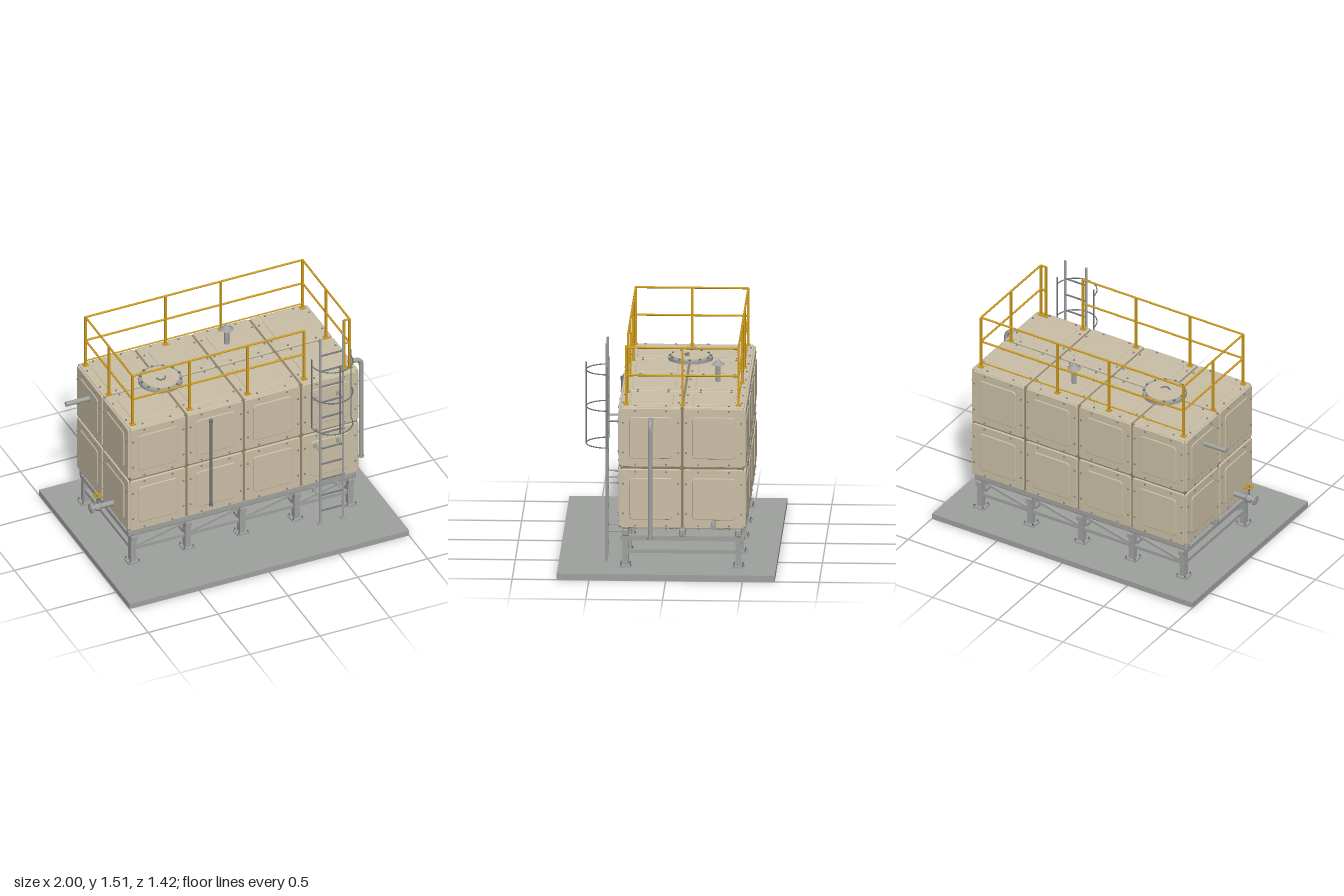
import * as THREE from 'three';
import { RoundedBoxGeometry } from 'three/addons/geometries/RoundedBoxGeometry.js';

const mat = (name, color) => new THREE.MeshStandardMaterial({ name, color });
const M = {
  tan: mat('tank cream', 0xcbbfa6),
  seam: mat('seam brown', 0x8f8165),
  steel: mat('steel grey', 0xa0a2a0),
  dark: mat('dark steel', 0x72777a),
  bolt: mat('bolt grey', 0x85878a),
  yellow: mat('safety yellow', 0xcf9c1c),
};
const V = (x, y, z) => new THREE.Vector3(x, y, z);

function add(parent, name, geo, material, x = 0, y = 0, z = 0) {
  const m = new THREE.Mesh(geo, material);
  m.name = name;
  m.position.set(x, y, z);
  parent.add(m);
  return m;
}
const box = (p, name, m, w, h, d, x, y, z) => add(p, name, new THREE.BoxGeometry(w, h, d), m, x, y, z);

// Round bar between two points
function rod(p, name, m, a, b, r, seg = 10) {
  const mesh = add(p, name, new THREE.CylinderGeometry(r, r, a.distanceTo(b), seg), m);
  mesh.position.copy(a).lerp(b, 0.5);
  mesh.quaternion.setFromUnitVectors(V(0, 1, 0), b.clone().sub(a).normalize());
  return mesh;
}

// Rounded square plate with a bevelled front, back at z = 0
function plate(size, r, depth, bevel) {
  const h = size / 2 - bevel, s = new THREE.Shape();
  s.moveTo(-h + r, -h);
  s.lineTo(h - r, -h); s.quadraticCurveTo(h, -h, h, -h + r);
  s.lineTo(h, h - r); s.quadraticCurveTo(h, h, h - r, h);
  s.lineTo(-h + r, h); s.quadraticCurveTo(-h, h, -h, h - r);
  s.lineTo(-h, -h + r); s.quadraticCurveTo(-h, -h, -h + r, -h);
  return new THREE.ExtrudeGeometry(s, {
    depth: depth - bevel, bevelThickness: bevel, bevelSize: bevel, bevelSegments: 2, curveSegments: 3,
  });
}

function buildTank() {
  const tank = new THREE.Group();
  tank.name = 'tank';
  tank.position.set(0, 0.71, -0.1);
  box(tank, 'tankCore', M.seam, 1.626, 0.8, 0.806, 0, 0, 0);
  const P = 0.41;
  const flange = plate(0.396, 0.012, 0.012, 0.005);
  const emboss = plate(0.28, 0.02, 0.006, 0.005);
  const boltGeo = new THREE.CylinderGeometry(0.006, 0.007, 0.008, 6).rotateX(Math.PI / 2);
  // Panelled face: columns, rows, distance from centre and orientation
  const face = (name, cols, rows, dist, rx, ry) => {
    const f = new THREE.Group();
    f.name = name;
    f.rotation.set(rx, ry, 0);
    tank.add(f);
    for (let i = 0; i < cols; i++) for (let j = 0; j < rows; j++) {
      const x = (i - (cols - 1) / 2) * P, y = (j - (rows - 1) / 2) * P;
      add(f, 'panel', flange, M.tan, x, y, dist - 0.012);
      add(f, 'panelEmboss', emboss, M.tan, x, y, dist);
      for (const s of [-1, 1]) for (const t of [-0.1, 0.1]) {
        add(f, 'bolt', boltGeo, M.bolt, x + s * 0.18, y + t, dist + 0.003);
        add(f, 'bolt', boltGeo, M.bolt, x + t, y + s * 0.18, dist + 0.003);
      }
    }
  };
  const H = Math.PI / 2;
  face('frontPanels', 4, 2, 0.415, 0, 0);
  face('backPanels', 4, 2, 0.415, 0, Math.PI);
  face('leftPanels', 2, 2, 0.825, 0, H);
  face('rightPanels', 2, 2, 0.825, 0, -H);
  face('topPanels', 4, 2, 0.41, -H, 0);
  face('bottomPanels', 4, 2, 0.41, H, 0);
  return tank;
}

function buildStand() {
  const g = new THREE.Group();
  g.name = 'stand';
  box(g, 'baseSlab', M.steel, 2, 0.04, 1.42, 0, 0.02, 0);
  for (const z of [0.27, -0.1, -0.465])
    add(g, 'longBeam', new RoundedBoxGeometry(1.63, 0.05, 0.04, 2, 0.01), M.steel, 0, 0.272, z);
  const xs = [-0.78, -0.39, 0, 0.39, 0.775];
  xs.forEach((x, i) => {
    box(g, 'crossBeam', M.steel, 0.04, 0.032, 0.81, x, 0.232, -0.1);
    box(g, 'lowerCrossBrace', M.steel, 0.025, 0.024, 0.7, x, 0.142, -0.1);
    for (const z of [0.27, -0.465]) {
      box(g, 'leg', M.steel, 0.04, 0.21, 0.04, x, 0.145, z);
      box(g, 'footPlate', M.steel, 0.085, 0.01, 0.08, x, 0.045, z);
      for (const sx of [-1, 1]) for (const sz of [-1, 1])
        add(g, 'anchorBolt', new THREE.CylinderGeometry(0.005, 0.005, 0.016, 6), M.dark,
          x + sx * 0.032, 0.056, z + sz * 0.03);
      if (i === 4) continue;
      // Bay bracing to the next leg
      const x2 = xs[i + 1];
      box(g, 'lowerLongBrace', M.steel, x2 - x, 0.024, 0.022, (x + x2) / 2, 0.142, z);
      const dx = x2 - x - 0.04, dy = 0.085;
      box(g, 'diagonalBrace', M.steel, Math.hypot(dx, dy), 0.018, 0.018, (x + x2) / 2, 0.197, z)
        .rotation.z = Math.atan2(dy, dx);
    }
  });
  return g;
}

function buildRailing() {
  const g = new THREE.Group();
  g.name = 'railing';
  const L = -0.778, R = 0.775, F = 0.268, B = -0.465, T = 1.507;
  const post = (x, z) => {
    box(g, 'railPost', M.yellow, 0.014, T - 1.12, 0.014, x, (T + 1.12) / 2, z);
    box(g, 'postFoot', M.yellow, 0.034, 0.008, 0.03, x, 1.126, z);
  };
  for (const x of [L, -0.37, 0.045, 0.45, 0.737, R]) post(x, F);
  for (const x of [L, -0.205, 0.19, R]) post(x, B);
  for (const x of [L, R]) post(x, -0.1);
  for (const y of [1.322, T]) {
    rod(g, 'frontRail', M.yellow, V(L, y, F), V(0.45, y, F), 0.007);
    rod(g, 'frontRailEnd', M.yellow, V(0.737, y, F), V(R, y, F), 0.007);
    rod(g, 'backRail', M.yellow, V(L, y, B), V(R, y, B), 0.007);
    for (const x of [L, R]) rod(g, 'sideRail', M.yellow, V(x, y, F), V(x, y, B), 0.007);
  }
  rod(g, 'toeRail', M.yellow, V(L, 1.16, B), V(R, 1.16, B), 0.005);
  return g;
}

function buildLadder() {
  const g = new THREE.Group();
  g.name = 'ladder';
  const xs = [0.507, 0.67], z = 0.397, cx = 0.588, r = 0.14;
  for (const x of xs) {
    rod(g, 'ladderRail', M.steel, V(x, 0.04, z), V(x, 1.507, z), 0.008);
    box(g, 'ladderFoot', M.steel, 0.035, 0.008, 0.035, x, 0.044, z);
    for (const y of [0.247, 0.61, 0.985]) {
      const end = y < 0.3 ? 0.29 : 0.315;
      rod(g, 'standoff', M.steel, V(x, y, z), V(x, y, end), 0.006);
      box(g, 'standoffPad', M.steel, 0.025, 0.03, 0.008, x, y, end + 0.008);
    }
  }
  for (let i = 0; i < 11; i++) {
    const y = 0.14 + i * 0.123;
    rod(g, 'rung', M.dark, V(xs[0], y, z), V(xs[1], y, z), 0.006);
  }
  // Safety cage
  for (const y of [0.817, 1.065, 1.31])
    add(g, 'cageHoop', new THREE.TorusGeometry(r, 0.004, 6, 28, Math.PI).rotateX(Math.PI / 2), M.dark, cx, y, z - 0.003);
  for (const a of [0, Math.PI / 2, Math.PI]) {
    const x = cx + r * Math.cos(a), zz = z - 0.003 + r * Math.sin(a);
    rod(g, 'cageBar', M.dark, V(x, 0.812, zz), V(x, 1.36, zz), 0.004);
  }
  return g;
}

function buildFittings() {
  const g = new THREE.Group();
  g.name = 'fittings';
  // Manhole with bolted ring and handle
  const mx = -0.407, mz = -0.104;
  add(g, 'manholeRing', new THREE.CylinderGeometry(0.145, 0.145, 0.022, 40), M.steel, mx, 1.135, mz);
  add(g, 'manholeLid', new THREE.CylinderGeometry(0.122, 0.122, 0.012, 40), M.tan, mx, 1.147, mz);
  for (let i = 0; i < 12; i++) {
    const a = i * Math.PI / 6;
    add(g, 'manholeBolt', new THREE.CylinderGeometry(0.007, 0.007, 0.012, 6), M.dark,
      mx + 0.134 * Math.cos(a), 1.15, mz + 0.134 * Math.sin(a));
  }
  add(g, 'lidHandle', new THREE.TorusGeometry(0.03, 0.005, 8, 16, Math.PI).rotateX(Math.PI / 2), M.dark, mx, 1.156, mz + 0.005);
  // Roof vent
  rod(g, 'ventPipe', M.steel, V(0.16, 1.11, -0.307), V(0.16, 1.245, -0.307), 0.017, 20);
  add(g, 'ventCap', new THREE.ConeGeometry(0.045, 0.038, 24), M.steel, 0.16, 1.258, -0.307);
  // Right side: inlet pipe and valved drain
  rod(g, 'inletPipe', M.steel, V(-1, 0.99, -0.29), V(-0.81, 0.99, -0.29), 0.016, 20);
  rod(g, 'drainPipe', M.steel, V(-1, 0.395, 0.08), V(-0.81, 0.395, 0.08), 0.018, 20);
  rod(g, 'drainFlange', M.steel, V(-0.995, 0.395, 0.08), V(-0.982, 0.395, 0.08), 0.032, 20);
  add(g, 'valveBody', new THREE.SphereGeometry(0.028, 20, 14), M.steel, -0.942, 0.395, 0.08);
  rod(g, 'valveStem', M.dark, V(-0.942, 0.41, 0.08), V(-0.942, 0.49, 0.08), 0.006);
  add(g, 'valveWheel', new THREE.TorusGeometry(0.024, 0.005, 8, 20).rotateX(Math.PI / 2), M.yellow, -0.942, 0.485, 0.08);
  box(g, 'wheelSpoke', M.yellow, 0.046, 0.005, 0.006, -0.942, 0.485, 0.08);
  box(g, 'wheelSpoke', M.yellow, 0.006, 0.005, 0.046, -0.942, 0.485, 0.08);
  // Left side: overflow downpipe and outlet
  const path = new THREE.CurvePath();
  path.add(new THREE.LineCurve3(V(0.81, 1.038, 0.103), V(0.885, 1.038, 0.103)));
  path.add(new THREE.QuadraticBezierCurve3(V(0.885, 1.038, 0.103), V(0.935, 1.038, 0.103), V(0.935, 0.988, 0.103)));
  path.add(new THREE.LineCurve3(V(0.935, 0.988, 0.103), V(0.935, 0.27, 0.103)));
  add(g, 'overflowPipe', new THREE.TubeGeometry(path, 80, 0.016, 16), M.steel);
  rod(g, 'overflowEnd', M.steel, V(0.935, 0.258, 0.103), V(0.935, 0.272, 0.103), 0.0165, 16);
  rod(g, 'outletPipe', M.steel, V(0.81, 0.345, -0.305), V(0.95, 0.345, -0.305), 0.016, 20);
  // Level gauge on the front
  rod(g, 'levelGauge', M.dark, V(-0.245, 0.365, 0.333), V(-0.245, 1.045, 0.333), 0.009, 14);
  for (const y of [0.375, 1.035]) {
    rod(g, 'gaugePort', M.dark, V(-0.245, y, 0.305), V(-0.245, y, 0.335), 0.007);
    rod(g, 'gaugeCollar', M.dark, V(-0.245, y - 0.012, 0.333), V(-0.245, y + 0.012, 0.333), 0.013, 14);
  }
  return g;
}

export function createModel() {
  const model = new THREE.Group();
  model.name = 'panelWaterTank';
  model.add(buildStand(), buildTank(), buildRailing(), buildLadder(), buildFittings());
  return model;
}
